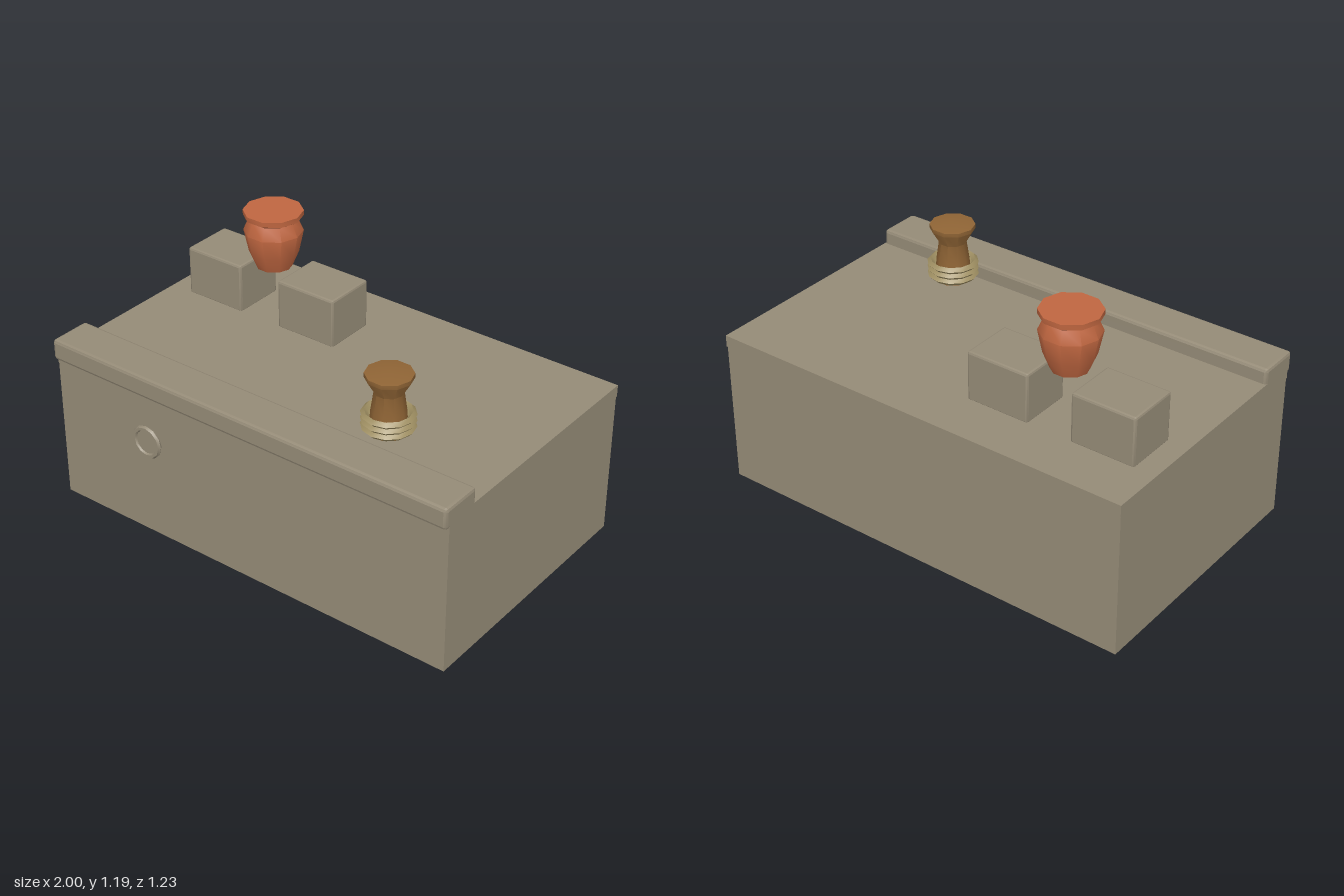
import * as THREE from 'three';
import { toCreasedNormals } from 'three/addons/utils/BufferGeometryUtils.js';
import { RoundedBoxGeometry } from 'three/addons/geometries/RoundedBoxGeometry.js';

const paint = (name, color) => {
  const m = new THREE.MeshStandardMaterial({ color });
  m.name = name;
  return m;
};

export function createModel() {
  const group = new THREE.Group();
  const stone = paint('stone', 0x958b77);
  const clay = paint('clay', 0xbf6640);
  const wood = paint('wood', 0x8f6435);
  const rope = paint('rope', 0x9f8f62);

  const add = (name, geometry, material, x, y, z) => {
    const mesh = new THREE.Mesh(geometry, material);
    mesh.name = name;
    mesh.position.set(x, y, z);
    group.add(mesh);
    return mesh;
  };

  // Box given by its lower and upper corners, optionally with bevelled edges
  const box = (name, [x0, y0, z0], [x1, y1, z1], bevel = 0) => {
    const size = [x1 - x0, y1 - y0, z1 - z0];
    const geometry = bevel
      ? toCreasedNormals(new RoundedBoxGeometry(...size, 1, bevel), 0.3)
      : new THREE.BoxGeometry(...size);
    return add(name, geometry, stone, (x0 + x1) / 2, (y0 + y1) / 2, (z0 + z1) / 2);
  };

  // Ten-sided turned vessel with corners facing left and right
  const turned = (name, profile, material, x, z) => {
    const points = profile.map(([r, y]) => new THREE.Vector2(r, y));
    const geometry = toCreasedNormals(new THREE.LatheGeometry(points, 10, Math.PI / 2), 0.7);
    return add(name, geometry, material, x, 0, z);
  };

  // Counter body, top slab and raised front ledge
  box('counterBody', [-0.998, 0, -0.608], [0.998, 0.655, 0.59]);
  box('topSlab', [-1, 0.655, -0.612], [1, 0.708, 0.592]);
  box('frontLedge', [-1, 0.68, 0.42], [1, 0.776, 0.615], 0.014);

  // Two square blocks on the top
  for (const x of [-0.753, -0.253]) {
    box('topBlock', [x - 0.148, 0.7, -0.381], [x + 0.148, 0.927, -0.139], 0.01);
  }

  // Round knob on the front
  const ring = toCreasedNormals(new THREE.TorusGeometry(0.065, 0.012, 6, 12), 0.6);
  add('knobRing', ring, stone, -0.5, 0.46, 0.603);
  const disc = new THREE.CylinderGeometry(0.064, 0.064, 0.02, 12).rotateX(Math.PI / 2);
  add('knobDisc', disc, stone, -0.5, 0.46, 0.595);

  // Clay pot
  turned('clayPot', [
    [0, 0.932], [0.08, 0.932], [0.108, 1.0], [0.129, 1.1],
    [0.104, 1.155], [0.129, 1.17], [0.13, 1.193], [0, 1.193],
  ], clay, -0.5, -0.24);

  // Wooden post with flared cap
  turned('woodenPost', [
    [0, 0.755], [0.078, 0.755], [0.072, 0.85], [0.06, 0.935],
    [0.099, 1.0], [0.099, 1.018], [0, 1.033],
  ], wood, 0.5, 0.29);

  // Three rings wrapped round the post
  for (let i = 0; i < 3; i++) {
    const coil = new THREE.TorusGeometry(0.097, 0.0155, 4, 12).rotateX(Math.PI / 2);
    add('ropeRing', toCreasedNormals(coil, 0.7), rope, 0.5, 0.784 + i * 0.027, 0.29);
  }

  return group;
}
